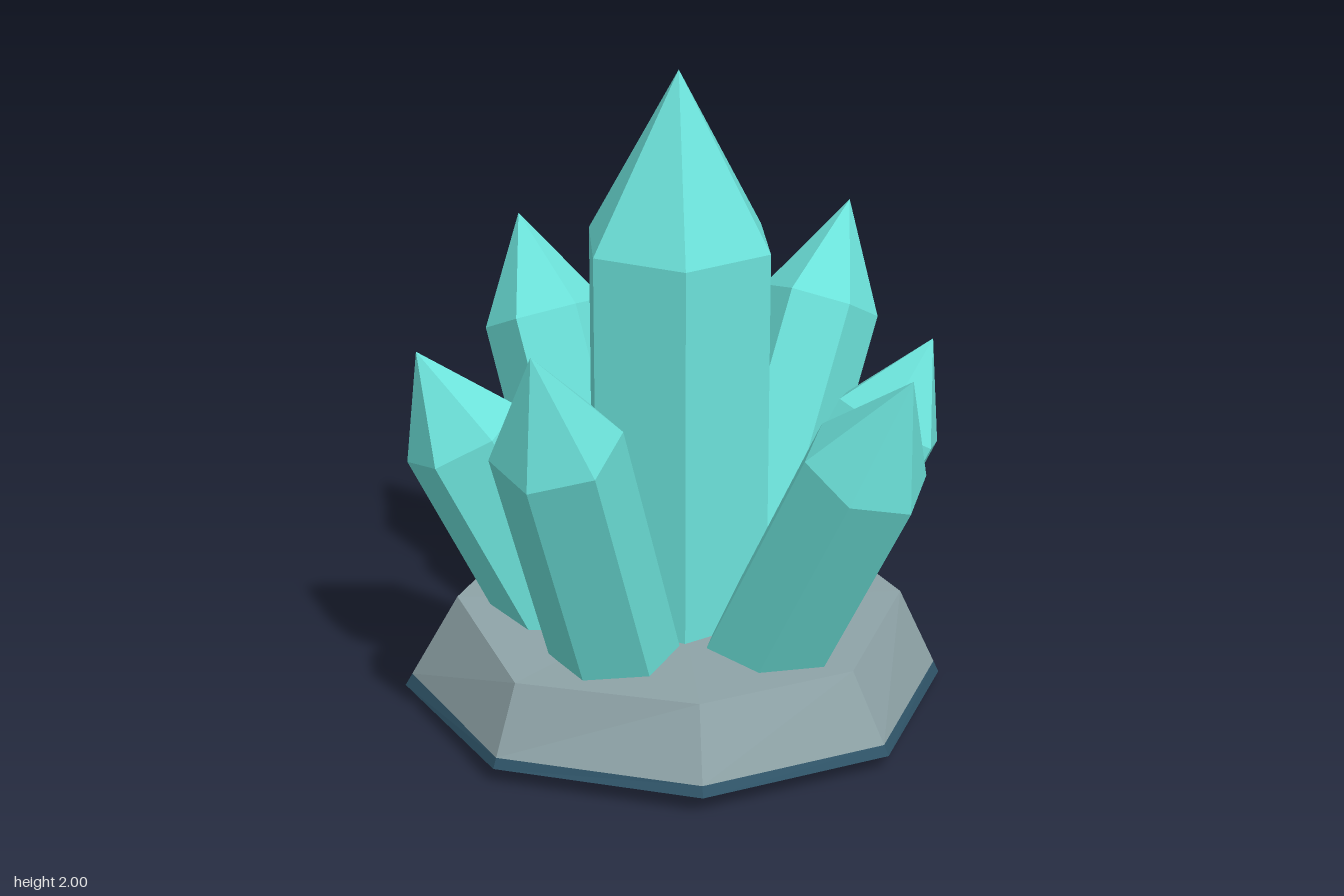
import * as THREE from 'three';

const crystalTeal = new THREE.MeshStandardMaterial({ color: 0x6ce2da });
crystalTeal.name = 'crystalTeal';
const stoneGrey = new THREE.MeshStandardMaterial({ color: 0x8da2a6 });
stoneGrey.name = 'stoneGrey';
const trimBlue = new THREE.MeshStandardMaterial({ color: 0x2f5468 });
trimBlue.name = 'trimBlue';

// Faceted mesh with hard edges
function facetMesh(name, geometry, material) {
  const flat = geometry.index ? geometry.toNonIndexed() : geometry;
  flat.computeVertexNormals();
  const mesh = new THREE.Mesh(flat, material);
  mesh.name = name;
  return mesh;
}

// Six-sided crystal from root to apex, with a pointed tip of the given length
function crystal(name, root, apex, radius, tip) {
  const from = new THREE.Vector3(...root);
  const dir = new THREE.Vector3(...apex).sub(from);
  const length = dir.length();
  const profile = [[0, 0], [radius, 0], [radius, length - tip], [0, length]]
    .map(([r, y]) => new THREE.Vector2(r, y));
  const mesh = facetMesh(name, new THREE.LatheGeometry(profile, 6), crystalTeal);
  mesh.position.copy(from);
  // One corner always points outward along the lean
  mesh.rotation.order = 'YXZ';
  mesh.rotation.y = Math.atan2(dir.x, dir.z);
  mesh.rotation.x = Math.atan2(Math.hypot(dir.x, dir.z), dir.y);
  return mesh;
}

// Triangles joining rings; rings run counter-clockwise seen from above
function wall(lower, upper) {
  const tris = [];
  lower.forEach((a, i) => {
    const j = (i + 1) % lower.length;
    tris.push(a, lower[j], upper[j], a, upper[j], upper[i]);
  });
  return tris;
}

function cap(ring, up) {
  const centre = new THREE.Vector3();
  ring.forEach((p) => centre.addScaledVector(p, 1 / ring.length));
  return ring.flatMap((p, i) => {
    const q = ring[(i + 1) % ring.length];
    return up ? [centre, p, q] : [centre, q, p];
  });
}

const fromTriangles = (points) => new THREE.BufferGeometry().setFromPoints(points);

export function createModel() {
  const model = new THREE.Group();
  model.name = 'crystalCluster';

  // Slightly irregular octagonal stone base, starting at the front corner
  const bottom = [[0.03, 0.83], [0.6, 0.6], [0.84, 0.02], [0.6, -0.58],
    [0.03, -0.84], [-0.58, -0.575], [-0.84, 0], [-0.57, 0.6]]
    .map(([x, z]) => new THREE.Vector3(x, 0.03 + 0.035 * z, z));
  const top = [[0.03, 0.29, 0.69], [0.5, 0.29, 0.51], [0.71, 0.315, 0.02], [0.5, 0.325, -0.46],
    [0.03, 0.315, -0.67], [-0.46, 0.33, -0.46], [-0.67, 0.33, 0], [-0.5, 0.29, 0.52]]
    .map((p) => new THREE.Vector3(...p));
  const trimTop = bottom.map((p, i) => p.clone().lerp(top[i], 0.13));

  const base = new THREE.Group();
  base.name = 'base';
  base.add(
    facetMesh('stone', fromTriangles([...wall(trimTop, top), ...cap(top, true)]), stoneGrey),
    facetMesh('bottomTrim', fromTriangles([...wall(bottom, trimTop), ...cap(bottom, false)]), trimBlue),
  );
  model.add(base);

  // Upright main crystal
  model.add(crystal('mainCrystal', [0.015, 0.15, 0.02], [0.015, 2, 0.02], 0.3, 0.52));

  // Ring of leaning crystals: name, axis point on the stone, apex, radius, tip length
  const leaning = [
    ['frontRightCrystal', [-0.2, 0.3, 0.34], [-0.44, 1.4, 0.77], 0.193, 0.34],
    ['frontLeftCrystal', [0.275, 0.3, 0.32], [0.62, 1.28, 0.71], 0.193, 0.35],
    ['backLeftCrystal', [0.256, 0.3, -0.28], [0.62, 1.37, -0.71], 0.19, 0.34],
    ['backRightCrystal', [-0.185, 0.3, -0.265], [-0.45, 1.36, -0.67], 0.193, 0.33],
    ['leftCrystal', [0.39, 0.3, -0.04], [0.81, 1.1, -0.125], 0.184, 0.29],
    ['rightCrystal', [-0.345, 0.3, 0.045], [-0.77, 1.16, 0.05], 0.19, 0.3],
  ];
  for (const [name, foot, apex, radius, tip] of leaning) {
    // Sink the root into the stone along the same line
    const root = foot.map((v, i) => v - (apex[i] - v) * 0.12);
    model.add(crystal(name, root, apex, radius, tip));
  }
  return model;
}
